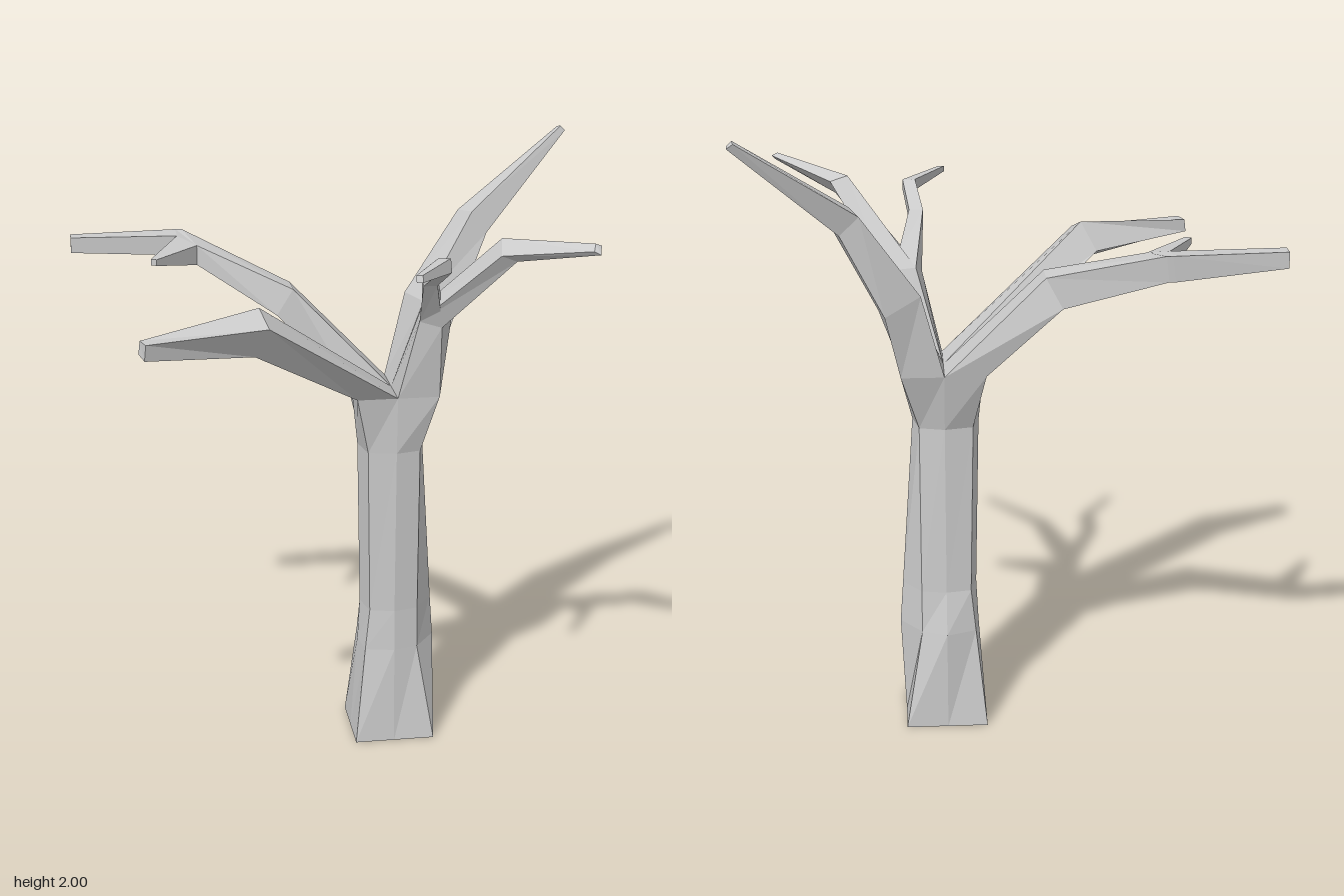
import * as THREE from 'three';

const material = new THREE.MeshStandardMaterial({ color: 0xcccccc, flatShading: true });

// Skin a list of equal-sized rings (counter-clockwise seen from the tip) and close the requested ends
function loft(name, rings, { capStart = false, capEnd = true } = {}) {
  const pos = [];
  const tri = (a, b, c) => pos.push(...a, ...b, ...c);
  const n = rings[0].length;
  for (let i = 0; i + 1 < rings.length; i++) {
    for (let j = 0; j < n; j++) {
      const k = (j + 1) % n;
      const [a, b, c, d] = [rings[i][j], rings[i][k], rings[i + 1][k], rings[i + 1][j]];
      tri(a, b, c);
      tri(a, c, d);
    }
  }
  const first = rings[0], last = rings[rings.length - 1];
  for (let j = 1; j + 1 < n; j++) {
    if (capStart) tri(first[0], first[j + 1], first[j]);
    if (capEnd) tri(last[0], last[j], last[j + 1]);
  }
  const geo = new THREE.BufferGeometry();
  geo.setAttribute('position', new THREE.Float32BufferAttribute(pos, 3));
  geo.computeVertexNormals();
  const mesh = new THREE.Mesh(geo, material);
  mesh.name = name;
  return mesh;
}

// Eight-point trunk ring: side midpoints (w, e, n, s) and corners (wc, ec, nc, sc)
const CX = 0.19, CZ = -0.08;
const trunkRing = (y, w, e, n, s, wc, ec, nc, sc, ez = CZ) => [
  [e, y, ez], [ec, y, nc], [CX, y, n], [wc, y, nc],
  [w, y, CZ], [wc, y, sc], [CX, y, s], [ec, y, sc],
];

// Small upright four-sided section for thin twigs
const section = (x, y, z, h) => [
  [x - h, y + h, z - h / 2], [x - h, y - h, z + h / 2],
  [x + h, y - h, z + h / 2], [x + h, y + h, z - h / 2],
];

export function createModel() {
  const tree = new THREE.Group();
  tree.name = 'bareTree';

  // Trunk: square foot, eight-sided shaft, square crown
  const top = trunkRing(1.22, 0.06, 0.325, -0.21, 0.05, 0.06, 0.325, -0.21, 0.05);
  tree.add(loft('trunk', [
    trunkRing(0, 0.06, 0.325, -0.21, 0.05, 0.06, 0.325, -0.21, 0.05),
    trunkRing(0.33, 0.083, 0.34, -0.205, 0.035, 0.095, 0.27, -0.17, 0.015),
    trunkRing(0.47, 0.09, 0.33, -0.175, 0.03, 0.11, 0.27, -0.16, 0.01),
    trunkRing(1.03, 0.08, 0.29, -0.165, 0.04, 0.1, 0.27, -0.145, 0.02, -0.05),
    top,
  ], { capStart: true, capEnd: false }));

  // Each branch grows from one quarter of the crown
  const [E, NE, N, NW, W, SW, S, SE] = top;
  const C = [CX, 1.22, CZ];

  tree.add(loft('frontRightBranch', [
    [C, W, SW, S],
    [[-0.27, 1.59, 0.24], [-0.32, 1.5, 0.205], [-0.29, 1.455, 0.3], [-0.25, 1.55, 0.34]],
    [[-0.635, 1.55, 0.4], [-0.64, 1.51, 0.4], [-0.625, 1.5, 0.445], [-0.62, 1.55, 0.45]],
  ]));

  // Back right branch with a twig growing out of its elbow
  const elbowA = [[-0.41, 1.645, -0.34], [-0.45, 1.67, -0.475], [-0.46, 1.59, -0.47], [-0.41, 1.58, -0.34]];
  const elbowB = [[-0.47, 1.665, -0.4], [-0.47, 1.67, -0.475], [-0.48, 1.59, -0.47], [-0.47, 1.6, -0.4]];
  tree.add(loft('backRightBranch', [
    [C, N, NW, W],
    [[-0.12, 1.54, -0.14], [-0.12, 1.54, -0.235], [-0.17, 1.45, -0.265], [-0.17, 1.45, -0.16]],
    elbowA,
    elbowB,
    [[-0.815, 1.67, -0.4], [-0.815, 1.67, -0.45], [-0.815, 1.62, -0.45], [-0.815, 1.62, -0.4]],
  ]));
  tree.add(loft('backRightTwig', [
    [elbowA[0], elbowB[0], elbowB[3], elbowA[3]],
    [[-0.55, 1.645, -0.17], [-0.567, 1.645, -0.182], [-0.567, 1.625, -0.182], [-0.55, 1.625, -0.17]],
  ]));

  // Tallest branch
  tree.add(loft('backLeftBranch', [
    [C, E, NE, N],
    [[0.3, 1.49, -0.12], [0.39, 1.41, -0.11], [0.37, 1.43, -0.26], [0.26, 1.49, -0.24]],
    [[0.47, 1.76, -0.2], [0.52, 1.69, -0.2], [0.5, 1.69, -0.27], [0.44, 1.75, -0.28]],
    [[0.795, 2, -0.36], [0.81, 1.985, -0.36], [0.81, 1.98, -0.38], [0.79, 1.995, -0.385]],
  ]));

  // Front left branch with a crooked twig
  const fork = [[0.27, 1.51, 0.01], [0.25, 1.48, 0.08], [0.32, 1.46, 0.09], [0.37, 1.5, 0.01]];
  tree.add(loft('frontLeftBranch', [
    [C, S, SE, E],
    fork,
    [[0.48, 1.765, 0.19], [0.47, 1.72, 0.235], [0.52, 1.7, 0.23], [0.535, 1.75, 0.175]],
    [[0.71, 1.793, 0.41], [0.7, 1.775, 0.435], [0.72, 1.765, 0.44], [0.73, 1.785, 0.405]],
  ]));
  tree.add(loft('frontLeftTwig', [
    [fork[0], fork[1], [0.32, 1.48, 0.085], [0.33, 1.53, 0.03]],
    section(0.265, 1.64, 0.16, 0.022),
    section(0.285, 1.71, 0.285, 0.02),
    section(0.175, 1.72, 0.465, 0.01),
  ]));

  return tree;
}
